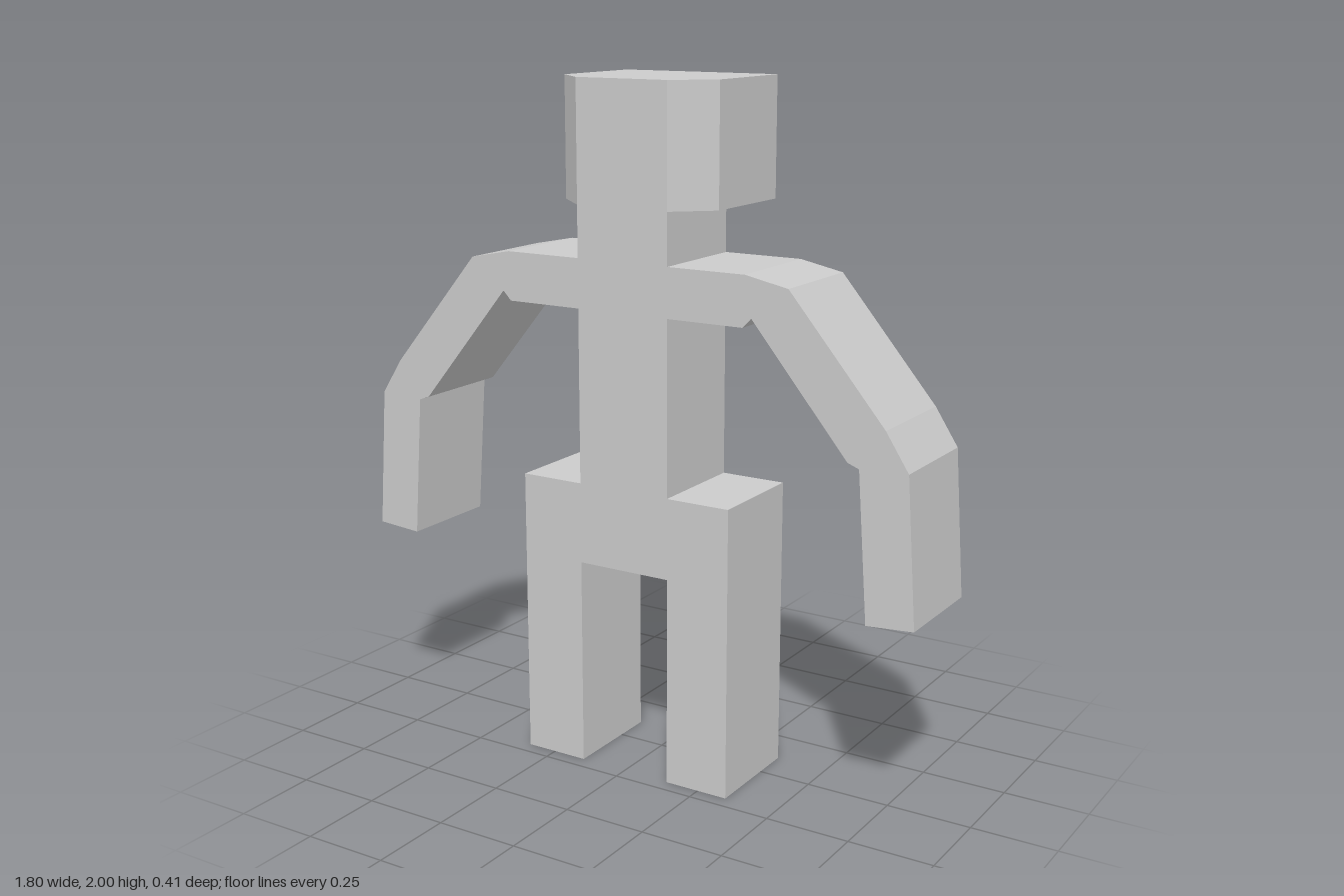
import * as THREE from 'three';

const material = new THREE.MeshStandardMaterial({ color: 0xcccccc, flatShading: true });

// Extrudes a mirror-symmetric outline, given as its +x half
function mirroredSlab(half, depth) {
  const other = half.map(([x, y]) => [-x, y]).reverse();
  const points = [...half, ...other].map(([x, y]) => new THREE.Vector2(x, y));
  return new THREE.ExtrudeGeometry(new THREE.Shape(points), { depth, bevelEnabled: false });
}

export function createModel() {
  const group = new THREE.Group();
  const add = (name, geometry) => {
    const mesh = new THREE.Mesh(geometry, material);
    mesh.name = name;
    group.add(mesh);
  };

  // Torso, arms and legs: one continuous slab, outline from neck to crotch
  const neck = [[0.146, 1.655], [0.146, 1.507]];
  const armTop = [[0.385, 1.507], [0.515, 1.481], [0.802, 1.142], [0.87, 1.037]];
  const hand = [[0.9, 0.617], [0.761, 0.607]];
  const armUnderside = [[0.73, 1.03], [0.696, 1.043], [0.406, 1.392], [0.38, 1.365], [0.146, 1.365]];
  const leg = [[0.146, 0.857], [0.342, 0.857], [0.342, 0], [0.146, 0], [0.146, 0.619]];
  const body = mirroredSlab([...neck, ...armTop, ...hand, ...armUnderside, ...leg], 0.315);
  body.translate(0, 0, -0.109);
  add('bodyWithArmsAndLegs', body);

  // Head: block with chamfered front corners, deeper towards the back
  const head = mirroredSlab([[0.25, -0.207], [0.25, 0.11], [0.146, 0.206]], 0.345);
  head.rotateX(Math.PI / 2).translate(0, 2, 0);
  add('head', head);

  return group;
}
